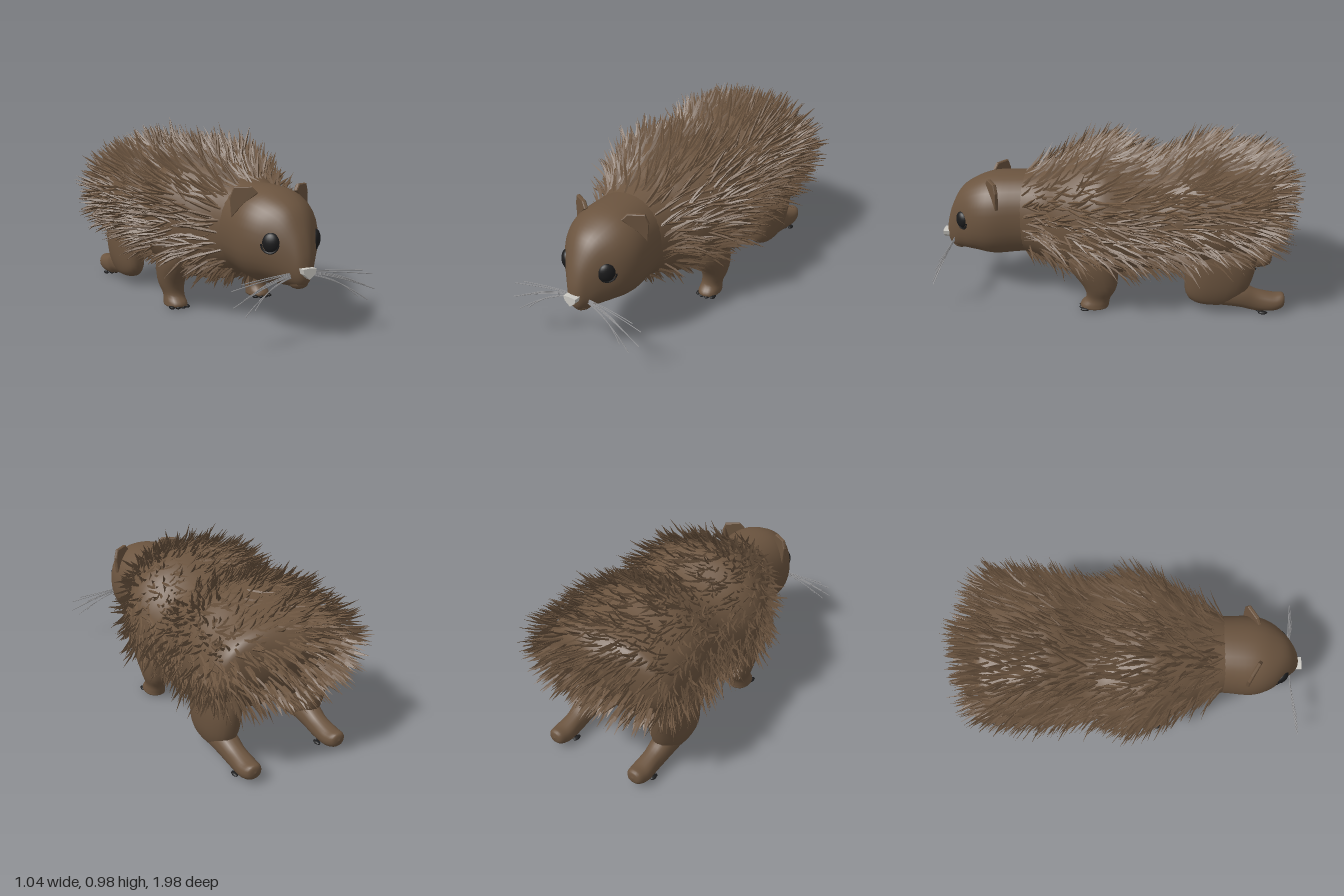
import * as THREE from 'three';
import { mergeGeometries } from 'three/addons/utils/BufferGeometryUtils.js';

const material = (name, color) => {
  const m = new THREE.MeshStandardMaterial({ color });
  m.name = name;
  return m;
};

// seeded random numbers
let seed = 7;
const rnd = () => {
  seed = (seed * 16807) % 2147483647;
  return seed / 2147483647;
};
const jitter = (k) => (rnd() - 0.5) * 2 * k;

// smooth surface through rings [x, y, z, rx, r2], lying in the xy or xz plane
function surface(rings, plane, power = 0.9) {
  const centre = new THREE.CatmullRomCurve3(rings.map(r => new THREE.Vector3(r[0], r[1], r[2])), false, 'catmullrom');
  const radius = new THREE.CatmullRomCurve3(rings.map(r => new THREE.Vector3(r[3], r[4], 0)), false, 'catmullrom');
  const pow = v => Math.sign(v) * Math.abs(v) ** power;
  return (t, a) => {
    const p = centre.getPoint(t), r = radius.getPoint(t);
    p.x += Math.max(r.x, 0.001) * pow(Math.cos(a));
    p[plane === 'xy' ? 'y' : 'z'] += Math.max(r.y, 0.001) * pow(Math.sin(a));
    return p;
  };
}

function loft(point, steps, sides = 28) {
  const pos = [], index = [];
  for (let i = 0; i <= steps; i++)
    for (let j = 0; j < sides; j++) pos.push(...point(i / steps, (j / sides) * Math.PI * 2).toArray());
  for (let i = 0; i < steps; i++)
    for (let j = 0; j < sides; j++) {
      const a = i * sides + j, b = i * sides + (j + 1) % sides;
      index.push(a, b, a + sides, b, b + sides, a + sides);
    }
  const g = new THREE.BufferGeometry();
  g.setAttribute('position', new THREE.Float32BufferAttribute(pos, 3));
  g.setIndex(index);
  g.computeVertexNormals();
  return g;
}

// bare patches: the belly, and the flanks where the legs come out
const isBare = (p, n) =>
  p.z > 0.54 || (n.y < -0.88 && p.z < 0.36) ||
  (p.y < 0.32 && (Math.abs(p.z - 0.13) < 0.1 || Math.abs(p.z + 0.5) < 0.18));

// thousands of slightly curved three-sided quills, swept back over the body
function quills(point, count) {
  const blade = new THREE.ConeGeometry(1, 1, 3, 2, true).toNonIndexed();
  blade.translate(0, 0.5, 0);
  const p = blade.attributes.position;
  for (let i = 0; i < p.count; i++) {
    const y = p.getY(i), w = y < 0.1 ? 0.6 : 1.6;
    p.setXYZ(i, p.getX(i) * w * 0.0115, y, p.getZ(i) * w * 0.006 + 0.02 * y * y);
  }
  const list = [], e = 0.004;
  while (list.length < count) {
    const t = 0.02 + rnd() * 0.96, a = rnd() * Math.PI * 2;
    const base = point(t, a);
    const n = point(t, a + e).sub(base).cross(point(t + e, a).sub(base)).divideScalar(e * e);
    if (rnd() * 1.6 > n.length()) continue; // even spread over the area
    n.normalize();
    if (isBare(base, n)) continue;
    const dir = new THREE.Vector3(jitter(0.35), 0.03 + jitter(0.3), -0.85 + jitter(0.2)).addScaledVector(n, 0.5 + jitter(0.25)).normalize();
    const side = new THREE.Vector3().crossVectors(dir, n).normalize();
    const up = new THREE.Vector3().crossVectors(side, dir);
    const len = (0.12 + rnd() * 0.06) * (base.z < -0.76 ? 0.85 : 1) * (n.y < -0.6 ? 0.65 : 1);
    const m = new THREE.Matrix4().makeBasis(side, dir.multiplyScalar(len), up);
    m.setPosition(base.addScaledVector(n, -0.004));
    list.push(blade.clone().applyMatrix4(m));
  }
  const g = mergeGeometries(list);
  g.computeVertexNormals();
  return g;
}

export function createModel() {
  const model = new THREE.Group();
  model.name = 'hedgehog';
  const fur = material('brown fur', 0x6b543f);
  const black = material('black eye and claw', 0x1b1b1c);
  const pale = material('pale nose', 0xcac8c2);
  const grey = material('grey whisker', 0x98989a);
  const add = (name, geometry, mat, parent = model) => {
    const mesh = new THREE.Mesh(geometry, mat);
    mesh.name = name;
    parent.add(mesh);
    return mesh;
  };

  // body, back to front
  const body = surface([
    [0, 0.63, -0.85, 0, 0], [0, 0.61, -0.82, 0.11, 0.09], [0, 0.575, -0.765, 0.31, 0.18],
    [0, 0.54, -0.7, 0.375, 0.235], [0, 0.515, -0.58, 0.385, 0.28], [0, 0.5, -0.4, 0.375, 0.33],
    [0, 0.455, -0.15, 0.355, 0.285], [0, 0.48, 0.1, 0.395, 0.345], [0, 0.465, 0.3, 0.32, 0.305],
    [0, 0.46, 0.42, 0.25, 0.255], [0, 0.46, 0.56, 0.195, 0.215]], 'xy');
  add('body', loft(body, 45, 36), fur);
  add('quills', quills(body, 2700), fur);

  // head
  const head = new THREE.Group();
  head.name = 'head';
  model.add(head);
  add('skull', loft(surface([
    [0, 0.46, 0.38, 0.2, 0.22], [0, 0.46, 0.55, 0.205, 0.225], [0, 0.45, 0.7, 0.212, 0.228],
    [0, 0.44, 0.8, 0.18, 0.205], [0, 0.415, 0.88, 0.117, 0.175], [0, 0.37, 0.935, 0.066, 0.125],
    [0, 0.338, 0.965, 0.034, 0.065], [0, 0.33, 0.975, 0, 0]], 'xy'), 32, 32), fur, head);
  const lip = add('lowerLip', new THREE.SphereGeometry(1, 16, 10), fur, head);
  lip.scale.set(0.045, 0.03, 0.05);
  lip.position.set(0, 0.262, 0.905);

  // wedge nose
  const noseShape = new THREE.Shape([[-0.036, 0.34], [-0.03, 0.316], [0, 0.291], [0.03, 0.316], [0.036, 0.34], [0, 0.343]]
    .map(p => new THREE.Vector2(...p)));
  add('nose', new THREE.ExtrudeGeometry(noseShape, { depth: 0.055, bevelEnabled: false }).translate(0, 0, 0.943), pale, head);

  for (const s of [1, -1]) {
    const sideName = s > 0 ? 'left' : 'right';

    // sunken eye with a dark lower rim
    const eye = add(sideName + 'Eye', new THREE.SphereGeometry(1, 20, 14), black, head);
    eye.scale.set(0.042, 0.047, 0.026);
    eye.position.set(s * 0.12, 0.447, 0.863);
    eye.rotation.y = s * 0.85;
    const rim = new THREE.TorusGeometry(0.04, 0.006, 6, 20, Math.PI).rotateZ(Math.PI);
    const lid = add(sideName + 'EyeRim', rim, black, head);
    lid.position.set(s * 0.128, 0.44, 0.864);
    lid.rotation.y = s * 0.85;

    // ear flap
    const ear = new THREE.Shape([[-0.06, 0.04], [-0.035, 0.066], [0.045, 0.063], [0.062, 0.02], [0.056, -0.07], [0.015, -0.02]]
      .map(([x, y]) => new THREE.Vector2(s * x, y)));
    const flap = add(sideName + 'Ear', new THREE.ExtrudeGeometry(ear, {
      depth: 0.012, bevelEnabled: true, bevelSize: 0.004, bevelThickness: 0.004, bevelSegments: 1 }), fur, head);
    flap.position.set(s * 0.156, 0.616, 0.68);
    flap.rotation.y = s * 0.55;

    // whiskers fanning sideways and down
    for (let i = 0; i < 7; i++) {
      const k = i / 6;
      const curve = new THREE.QuadraticBezierCurve3(
        new THREE.Vector3(s * 0.04, 0.315 - 0.02 * k, 0.93),
        new THREE.Vector3(s * 0.18, 0.305 - 0.03 * k, 0.93 + 0.02 * k),
        new THREE.Vector3(s * (0.33 + 0.06 * Math.sin(i * 2.1)), 0.295 - 0.135 * k, 0.955 + 0.04 * k));
      add(sideName + 'Whisker', new THREE.TubeGeometry(curve, 8, 0.0026, 4), grey, head);
    }

    // front leg, top to bottom
    add(sideName + 'FrontLeg', loft(surface([
      [s * 0.25, 0.4, 0.15, 0.07, 0.13], [s * 0.262, 0.26, 0.145, 0.08, 0.13], [s * 0.262, 0.14, 0.11, 0.066, 0.09],
      [s * 0.253, 0.07, 0.12, 0.053, 0.066], [s * 0.252, 0.03, 0.14, 0.056, 0.076],
      [s * 0.252, 0.008, 0.142, 0.052, 0.068], [s * 0.252, 0.006, 0.142, 0, 0]], 'xz'), 24, 20), fur);

    // hind thigh, top to bottom, and backward foot
    add(sideName + 'Thigh', loft(surface([
      [s * 0.25, 0.46, -0.54, 0.08, 0.18], [s * 0.26, 0.3, -0.53, 0.088, 0.185], [s * 0.26, 0.18, -0.515, 0.085, 0.175],
      [s * 0.258, 0.1, -0.5, 0.07, 0.15], [s * 0.256, 0.055, -0.5, 0.045, 0.1], [s * 0.256, 0.045, -0.5, 0, 0]], 'xz'), 24, 24), fur);
    add(sideName + 'HindFoot', loft(surface([
      [s * 0.255, 0.072, -0.878, 0, 0], [s * 0.255, 0.07, -0.865, 0.04, 0.038], [s * 0.255, 0.06, -0.81, 0.055, 0.048],
      [s * 0.255, 0.07, -0.72, 0.052, 0.06], [s * 0.258, 0.1, -0.63, 0.06, 0.068], [s * 0.26, 0.11, -0.48, 0.06, 0.06]], 'xy'), 24, 20), fur);

    // claws
    for (let i = 0; i < 4; i++) {
      const x = s * 0.253 + (i - 1.5) * 0.029, mid = 1 - Math.abs(i - 1.5) / 1.5;
      for (const [name, z] of [['FrontClaw', 0.19 + 0.015 * mid], ['HindClaw', -0.76 + 0.02 * mid]]) {
        const claw = add(sideName + name, new THREE.SphereGeometry(1, 8, 6), black);
        claw.scale.set(0.014, 0.009, 0.025);
        claw.position.set(x, name === 'FrontClaw' ? 0.009 : 0.011, z);
      }
    }
  }
  return model;
}
